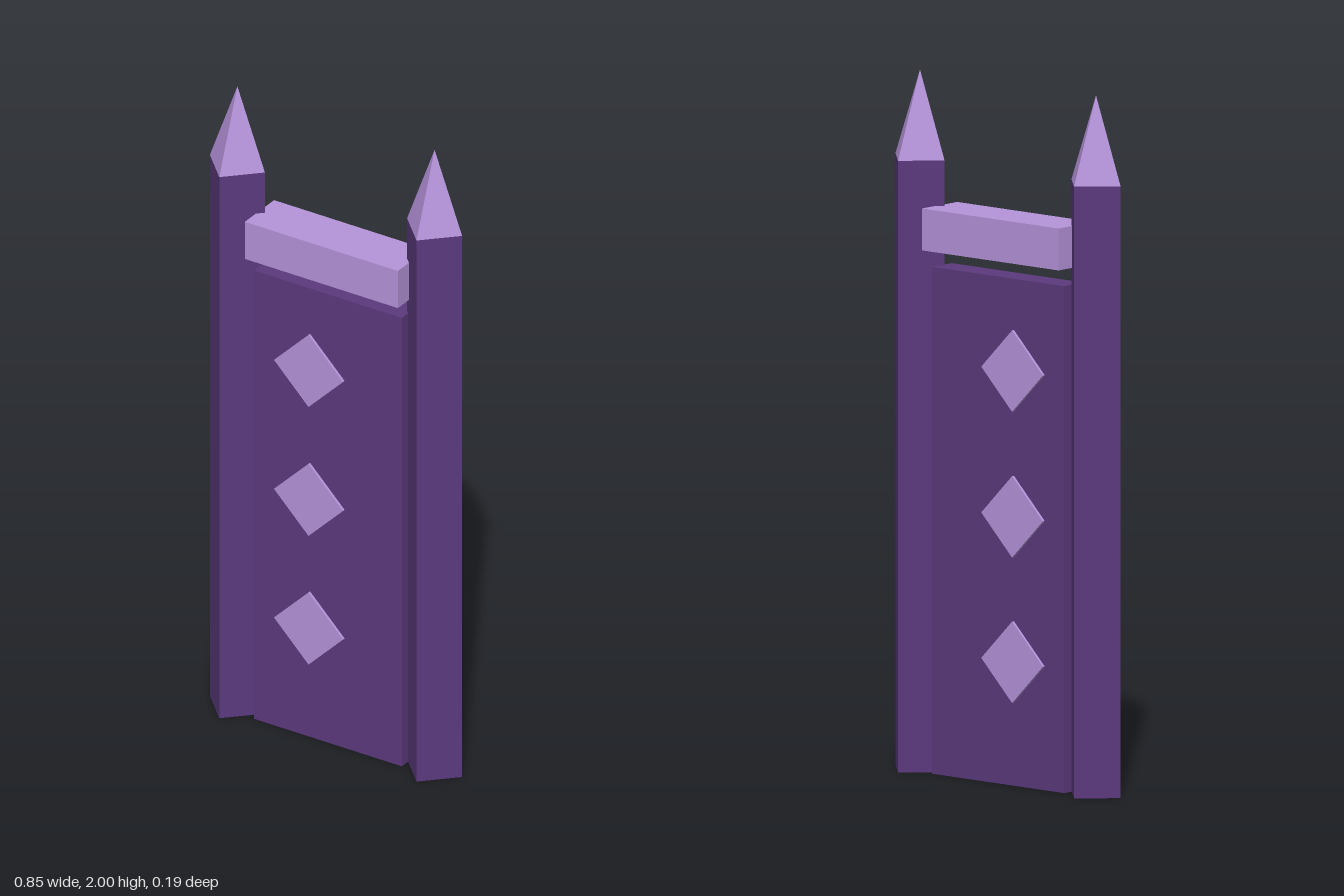
import * as THREE from 'three';

export function createModel() {
  const model = new THREE.Group();
  const dark = new THREE.MeshStandardMaterial({ color: 0x5b397d });
  dark.name = 'dark purple';
  const light = new THREE.MeshStandardMaterial({ color: 0xb593da });
  light.name = 'light purple';

  const add = (name, geometry, material, x, y, z = 0) => {
    const mesh = new THREE.Mesh(geometry, material);
    mesh.name = name;
    mesh.position.set(x, y, z);
    model.add(mesh);
    return mesh;
  };
  // Four-sided prism or spike with hard edges, corners facing front and side
  const fourSided = (top, bottom, height) => {
    const g = new THREE.CylinderGeometry(top, bottom, height, 4).toNonIndexed();
    g.computeVertexNormals();
    return g;
  };

  // Posts with pointed caps
  const R = 0.093, POST_H = 1.75, CAP_H = 0.25;
  for (const [side, s] of [['left', 1], ['right', -1]]) {
    add(side + 'Post', fourSided(R, R, POST_H), dark, s * 0.333, POST_H / 2);
    add(side + 'PostCap', fourSided(0, R, CAP_H), light, s * 0.333, POST_H + CAP_H / 2);
  }

  // Panel between the posts and the crossbar above it
  add('panel', new THREE.BoxGeometry(0.5, 1.45, 0.084), dark, 0, 0.725);
  add('crossbar', new THREE.BoxGeometry(0.517, 0.12, 0.15), light, 0, 1.56);

  // Diamonds set through the panel, standing slightly proud on both faces
  for (const y of [0.354, 0.77, 1.187]) {
    add('diamond', new THREE.BoxGeometry(0.165, 0.165, 0.1), light, -0.06, y).rotation.z = Math.PI / 4;
  }
  return model;
}
